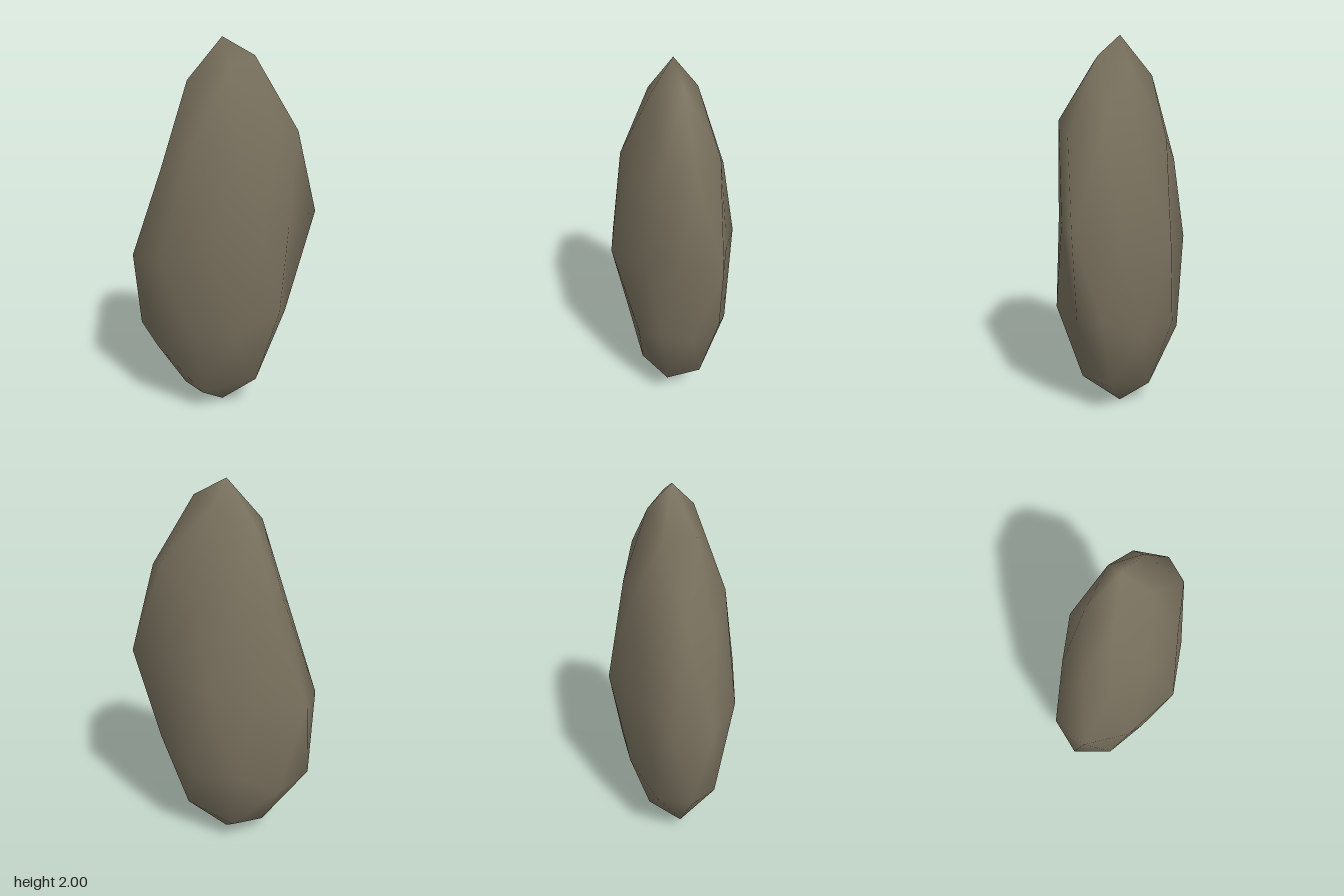
import * as THREE from 'three';
import { mergeVertices } from 'three/addons/utils/BufferGeometryUtils.js';

// Horizontal swelling of each ring of points, from +x round through +z.
const RINGS = [
  { y: 0.851, f: [0.61, 0.72, 0.75, 0.75, 0.62] },
  { y: 0.526, f: [0.85, 0.88, 0.68, 0.8, 0.83] },
  { y: 0.447, f: [0.85, 0.85, 0.8, 0.78, 0.78] },
  { y: 0, f: [0.75, 0.8, 1, 0.97, 0.97, 0.94, 0.72, 1, 0.78, 1] },
  { y: -0.447, f: [0.9, 0.83, 1.02, 0.92, 0.88] },
  { y: -0.526, f: [0.8, 0.85, 0.95, 0.93, 0.96] },
  { y: -0.851, f: [0.94, 1, 0.8, 0.9, 0.92] },
];

function swelling(x, y, z) {
  const ring = RINGS.find((r) => Math.abs(r.y - y) < 0.02);
  if (!ring) return 1; // the two tips
  const turn = (Math.atan2(z, x) / (Math.PI * 2) + 1.001) % 1;
  return ring.f[Math.floor(turn * 10 / (10 / ring.f.length))];
}

export function createModel() {
  const group = new THREE.Group();
  group.name = 'rock';

  const stone = new THREE.MeshStandardMaterial({ color: 0x7a725f });
  stone.name = 'stone';

  // Once-divided icosahedron, turned to stand on a point
  let geo = new THREE.IcosahedronGeometry(1, 1);
  geo.deleteAttribute('uv');
  geo.deleteAttribute('normal');
  geo.rotateX(-Math.atan2((1 + Math.sqrt(5)) / 2, 1));
  geo.rotateY(Math.PI / 2);
  geo = mergeVertices(geo, 1e-3);

  // Flatten it, swell each point and slant it up towards +x
  const p = geo.attributes.position;
  for (let i = 0; i < p.count; i++) {
    const x = p.getX(i), y = p.getY(i), z = p.getZ(i);
    const f = swelling(x, y, z);
    p.setXYZ(i, 0.5 * x * f - 0.01, 1 + y + 0.12 * x, 0.333 * z * f);
  }
  geo.computeVertexNormals();

  const boulder = new THREE.Mesh(geo, stone);
  boulder.name = 'boulder';
  group.add(boulder);
  return group;
}
